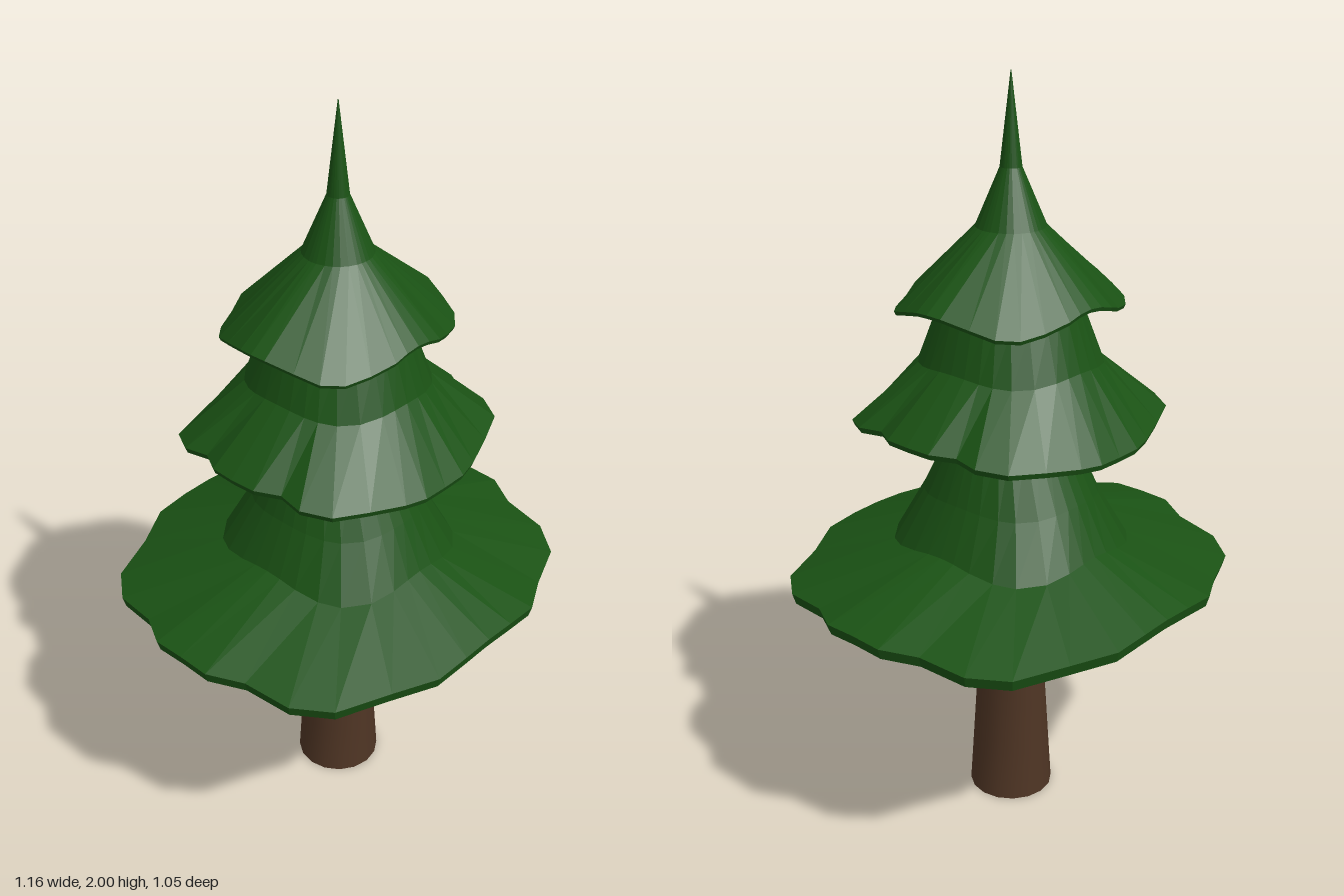
import * as THREE from 'three';

const QUARTER = 8, SIDES = QUARTER * 4;

// Mirror a quarter outline (from +x to +z) into a full closed loop of [x, z]
function fullLoop(quarter) {
  const loop = [];
  for (let j = 0; j < SIDES; j++) {
    const q = Math.floor(j / QUARTER), k = j % QUARTER;
    const [x, z] = quarter[q % 2 ? QUARTER - k : k];
    loop.push([q === 1 || q === 2 ? -x : x, q > 1 ? -z : z]);
  }
  return loop;
}

// Oval ring following the directions of the rim; bulge widens and lowers its diagonals
const ring = (rim, rx, rz, y, bulge = 0) => rim.map(([x, z]) => {
  const a = Math.atan2(z, x), d = bulge * Math.sin(2 * a) ** 2;
  return [rx * (1 + d) * Math.cos(a), y - d * 0.25, rz * (1 + d) * Math.sin(a)];
});

// Skin a list of rings with outward-facing faces
function skin(rings) {
  const index = [];
  for (let i = 0; i < rings.length - 1; i++) {
    for (let j = 0; j < SIDES; j++) {
      const k = (j + 1) % SIDES, b = i * SIDES, t = b + SIDES;
      index.push(b + j, t + j, b + k, b + k, t + j, t + k);
    }
  }
  const geo = new THREE.BufferGeometry();
  geo.setAttribute('position', new THREE.Float32BufferAttribute(rings.flat(2), 3));
  geo.setIndex(index);
  geo.computeVertexNormals();
  return geo;
}

// Tiers: rim outline, rim height and wave, rings under the rim and above it [rx, rz, y, bulge]
const TIERS = [
  {
    name: 'lowerBranches', y: 0.665, wave: 0.015, waves: 4, lip: 0.03,
    rim: [[0.58, 0], [0.58, 0.09], [0.53, 0.18], [0.51, 0.31], [0.44, 0.4], [0.3, 0.46], [0.19, 0.52], [0.09, 0.525], [0, 0.525]],
    under: [[0.08, 0.08, 1.04], [0.21, 0.22, 0.83], [0.3, 0.3, 0.68], [0.46, 0.42, 0.66]],
    over: [[0.27, 0.29, 0.805, 0.12], [0.21, 0.23, 0.93, 0.05], [0.155, 0.15, 1.09], [0.13, 0.13, 1.18]],
  },
  {
    name: 'middleBranches', y: 1.11, wave: 0.022, waves: 2, lip: 0.015,
    rim: [[0.38, 0], [0.375, 0.07], [0.34, 0.13], [0.35, 0.2], [0.31, 0.27], [0.22, 0.31], [0.13, 0.345], [0.07, 0.36], [0, 0.36]],
    under: [[0.11, 0.11, 1.2], [0.16, 0.16, 1.1], [0.22, 0.21, 1.09]],
    over: [[0.22, 0.23, 1.29, 0.06], [0.185, 0.19, 1.41], [0.13, 0.13, 1.52]],
  },
  {
    name: 'topBranches', y: 1.43, wave: 0.022, waves: 4, lip: 0.01,
    rim: [[0.3, 0], [0.295, 0.04], [0.27, 0.11], [0.245, 0.17], [0.2, 0.21], [0.14, 0.235], [0.08, 0.26], [0.04, 0.26], [0, 0.26]],
    under: [[0.11, 0.11, 1.54], [0.17, 0.17, 1.46]],
    over: [[0.09, 0.09, 1.625], [0.028, 0.028, 1.77], [0.001, 0.001, 2]],
  },
];

function makeTier(t, material) {
  const rim = fullLoop(t.rim);
  const edge = (scale, lift) => rim.map(([x, z]) =>
    [x * scale, t.y + lift + t.wave * Math.cos(t.waves * Math.atan2(z, x)), z * scale]);
  const toRing = (spec) => ring(rim, ...spec);
  const mesh = new THREE.Mesh(
    skin([...t.under.map(toRing), edge(0.985, 0), edge(1, t.lip), ...t.over.map(toRing)]), material);
  mesh.name = t.name;
  return mesh;
}

export function createModel() {
  const tree = new THREE.Group();
  tree.name = 'pineTree';
  const green = new THREE.MeshStandardMaterial({ color: 0x1a5214, flatShading: true, side: THREE.DoubleSide });
  const brown = new THREE.MeshStandardMaterial({ color: 0x4f3524 });

  // Trunk, round at the foot and narrowing more across x than z
  const trunkGeo = new THREE.CylinderGeometry(0.08, 0.115, 0.9, 16, 6);
  const p = trunkGeo.attributes.position;
  for (let i = 0; i < p.count; i++) {
    const h = (p.getY(i) + 0.45) / 0.9;
    p.setX(i, p.getX(i) * (1 - 0.42 * h));
  }
  trunkGeo.translate(0, 0.45, 0);
  trunkGeo.computeVertexNormals();
  const trunk = new THREE.Mesh(trunkGeo, brown);
  trunk.name = 'trunk';
  tree.add(trunk);

  // Three skirts of branches
  for (const t of TIERS) tree.add(makeTier(t, green));
  return tree;
}
